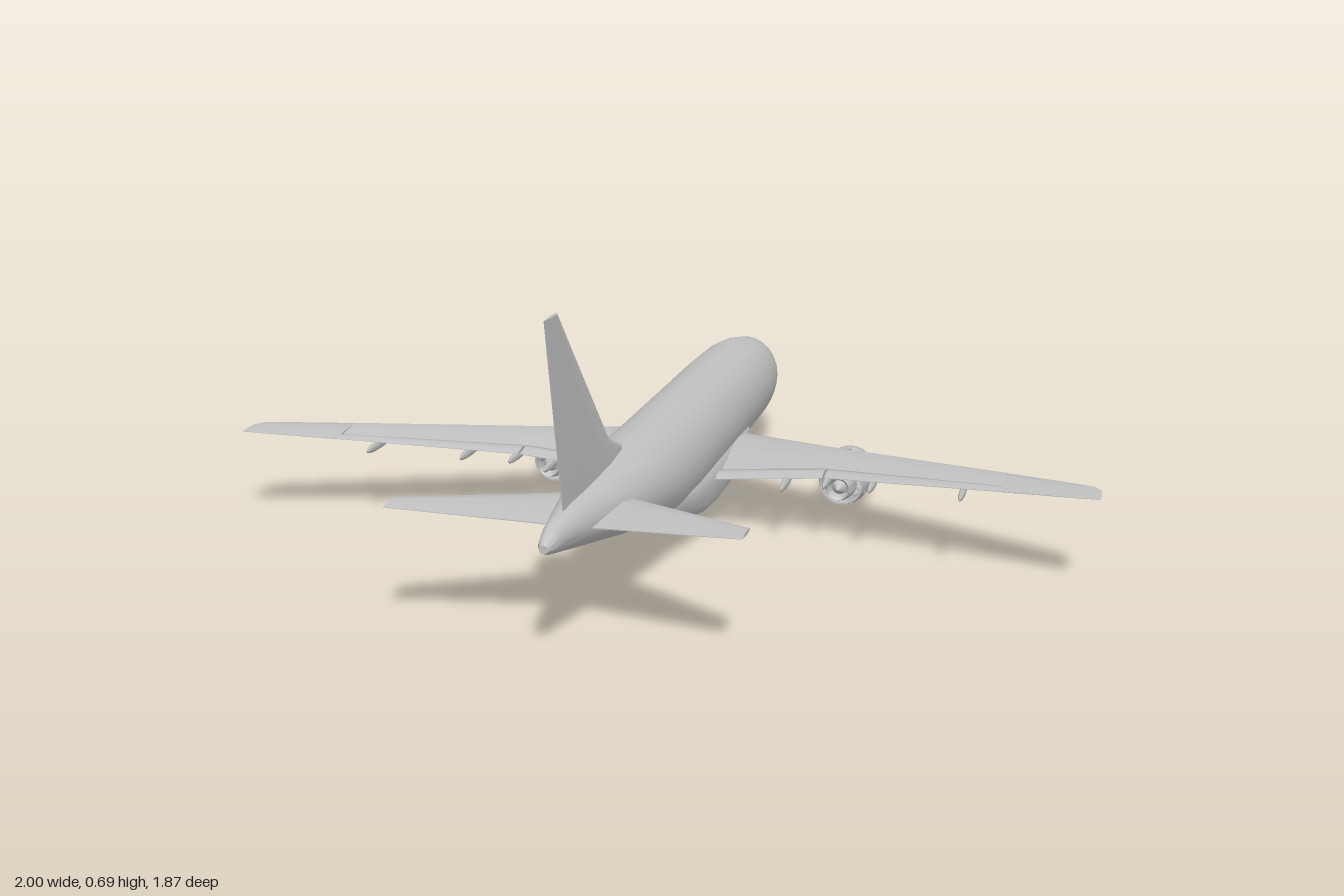
import * as THREE from 'three';
import { toCreasedNormals } from 'three/addons/utils/BufferGeometryUtils.js';

const paint = new THREE.MeshStandardMaterial({ color: 0xc0c0c0, side: THREE.DoubleSide });
paint.name = 'light grey paint';

// Skin a list of equal-length point rings, close both ends and face outwards.
function loft(rings, crease = 0.6) {
  const n = rings[0].length, pos = rings.flat(2), idx = [];
  for (let r = 0; r < rings.length - 1; r++)
    for (let i = 0; i < n; i++) {
      const a = r * n + i, b = r * n + (i + 1) % n;
      idx.push(a, b, a + n, b, b + n, a + n);
    }
  const last = (rings.length - 1) * n;
  for (let i = 1; i < n - 1; i++) idx.push(0, i + 1, i, last, last + i, last + i + 1);
  const p = i => new THREE.Vector3().fromArray(pos, i * 3);
  let volume = 0;
  for (let i = 0; i < idx.length; i += 3)
    volume += p(idx[i]).dot(p(idx[i + 1]).cross(p(idx[i + 2])));
  if (volume < 0) idx.reverse();
  const g = new THREE.BufferGeometry();
  g.setAttribute('position', new THREE.Float32BufferAttribute(pos, 3));
  g.setIndex(idx);
  return toCreasedNormals(g, crease);
}

// Body ring: oval above, squarer below when power < 1.
function bodyRing([z, bottom, top, half, power = 1]) {
  const mid = (bottom + top) / 2, ring = [];
  for (let i = 0; i < 24; i++) {
    const a = i / 24 * Math.PI * 2, c = Math.cos(a), s = Math.sin(a);
    const k = s < 0 ? power : 1;
    ring.push([half * Math.sign(c) * Math.abs(c) ** k,
      mid + (top - bottom) / 2 * Math.sign(s) * Math.abs(s) ** k, z]);
  }
  return ring;
}

// Aerofoil outline: chord fraction, thickness fraction.
const foil = [[0, 0], [0.06, 0.6], [0.3, 1], [0.65, 0.7], [1, 0.1],
  [1, -0.1], [0.65, -0.7], [0.3, -1], [0.06, -0.6]];

// Wing sections: [x, y, leading z, trailing z, thickness].
const wingLoft = (side, sections) => loft(sections.map(([x, y, z0, z1, t]) =>
  foil.map(([f, h]) => [side * x, y + h * t / 2, z0 + f * (z1 - z0)])));

// Fin sections: [y, leading z, trailing z, thickness].
const finLoft = sections => loft(sections.map(([y, z0, z1, t]) =>
  foil.map(([f, h]) => [h * t / 2, y, z0 + f * (z1 - z0)])));

// Lathe about the z axis; profile points are [radius, z].
function turned(profile, start = 0, length = Math.PI * 2, segments = 24) {
  const g = new THREE.LatheGeometry(profile.map(([r, z]) => new THREE.Vector2(r, z)), segments, start, length);
  return toCreasedNormals(g.rotateX(Math.PI / 2), 0.6);
}

function add(parent, name, geometry) {
  const mesh = new THREE.Mesh(geometry, paint);
  mesh.name = name;
  parent.add(mesh);
  return mesh;
}

function engine(side) {
  const g = new THREE.Group();
  g.name = 'engine';
  g.position.set(side * 0.37, 0.065, 0);
  // Cowl in three bands; the middle one has an open panel low on each side
  add(g, 'intakeLip', turned([[0.046, -0.31], [0.048, -0.345], [0.053, -0.356], [0.059, -0.345], [0.062, -0.315]]));
  const band = [[0.062, -0.315], [0.064, -0.285], [0.063, -0.255]];
  add(g, 'cowlTop', turned(band, Math.PI / 2, Math.PI, 12)).rotation.z = Math.PI / 2;
  add(g, 'cowlBottom', turned(band, Math.PI / 2 + 0.85, Math.PI - 1.7, 6)).rotation.z = -Math.PI / 2;
  add(g, 'cowlRear', turned([[0.063, -0.255], [0.06, -0.23], [0.053, -0.205], [0.049, -0.205], [0.052, -0.25]]));
  // Core and exhaust
  add(g, 'core', turned([[0, -0.27], [0.015, -0.26], [0.03, -0.245], [0.038, -0.21], [0.034, -0.18],
    [0.027, -0.16], [0.022, -0.165], [0.018, -0.18], [0, -0.15]]));
  for (let i = 0; i < 8; i++) {
    const vane = new THREE.BoxGeometry(0.036, 0.007, 0.025).translate(0.042, 0, -0.238);
    add(g, 'vane', vane.rotateZ(i * Math.PI / 4 + Math.PI / 8));
  }
  return g;
}

// Pylon outline in (z, y)
function pylon(side) {
  const shape = new THREE.Shape([[-0.31, 0.125], [-0.26, 0.14], [-0.17, 0.163], [-0.03, 0.158],
    [-0.05, 0.138], [-0.13, 0.115], [-0.18, 0.095], [-0.24, 0.1]].map(p => new THREE.Vector2(...p)));
  const g = new THREE.ExtrudeGeometry(shape, { depth: 0.016, bevelEnabled: false });
  return g.translate(0, 0, -0.008).rotateY(-Math.PI / 2).translate(side * 0.37, 0, 0);
}

export function createModel() {
  const model = new THREE.Group();
  model.name = 'airliner';

  // Fuselage stations: z, bottom, top, half width
  add(model, 'fuselage', loft([
    [-0.935, 0.148, 0.165, 0.01], [-0.925, 0.13, 0.185, 0.028], [-0.905, 0.115, 0.202, 0.042],
    [-0.86, 0.099, 0.228, 0.06], [-0.81, 0.088, 0.266, 0.078], [-0.77, 0.083, 0.288, 0.089],
    [-0.69, 0.077, 0.304, 0.102], [-0.6, 0.075, 0.313, 0.109], [-0.45, 0.075, 0.315, 0.112],
    [0.15, 0.075, 0.315, 0.112], [0.3, 0.095, 0.315, 0.111], [0.42, 0.12, 0.315, 0.103],
    [0.53, 0.146, 0.311, 0.089], [0.65, 0.174, 0.304, 0.068], [0.78, 0.204, 0.297, 0.042],
    [0.88, 0.228, 0.286, 0.024], [0.92, 0.238, 0.272, 0.016], [0.935, 0.244, 0.262, 0.009],
  ].map(bodyRing)));

  // Squared fairing under the wing roots
  add(model, 'bellyFairing', loft([
    [-0.42, 0.08, 0.2, 0.09, 0.8], [-0.33, 0.068, 0.2, 0.112, 0.5], [-0.2, 0.06, 0.2, 0.118, 0.42],
    [0, 0.055, 0.2, 0.118, 0.42], [0.1, 0.058, 0.2, 0.115, 0.45], [0.2, 0.074, 0.2, 0.108, 0.6],
    [0.32, 0.102, 0.2, 0.09, 0.9],
  ].map(bodyRing)));

  // Tail fin with its forward fillet
  add(model, 'tailFin', finLoft([[0.28, 0.42, 0.815, 0.026], [0.315, 0.42, 0.822, 0.026],
    [0.355, 0.515, 0.832, 0.024], [0.69, 0.835, 0.91, 0.008]]));

  for (const side of [1, -1]) {
    // Main wing, ending in front of the flap slots
    add(model, 'wing', wingLoft(side, [[0.05, 0.13, -0.345, -0.018, 0.05], [0.12, 0.137, -0.308, -0.018, 0.046],
      [0.37, 0.159, -0.174, -0.016, 0.03], [0.79, 0.2, 0.047, 0.14, 0.016]]));
    add(model, 'wingTip', wingLoft(side, [[0.788, 0.2, 0.046, 0.18, 0.016], [0.957, 0.216, 0.136, 0.232, 0.01],
      [0.985, 0.219, 0.155, 0.24, 0.008], [1, 0.22, 0.18, 0.245, 0.004]]));
    add(model, 'innerFlap', wingLoft(side, [[0.1, 0.132, -0.008, 0.05, 0.02], [0.368, 0.157, -0.006, 0.05, 0.016]]));
    add(model, 'outerFlap', wingLoft(side, [[0.374, 0.158, -0.004, 0.052, 0.016], [0.79, 0.2, 0.148, 0.18, 0.01]]));

    // Flap track fairings: x, rear z
    for (const [x, rear] of [[0.285, 0.12], [0.38, 0.1], [0.49, 0.135], [0.7, 0.198]]) {
      const pod = new THREE.SphereGeometry(1, 8, 10).rotateX(Math.PI / 2).scale(0.008, 0.012, 0.07);
      add(model, 'flapTrackFairing', pod)
        .position.set(side * x, 0.126 + (x - 0.11) * 0.09, rear - 0.07);
    }

    add(model, 'pylon', pylon(side));
    model.add(engine(side));

    add(model, 'tailplane', wingLoft(side, [[0.02, 0.243, 0.545, 0.765, 0.026], [0.085, 0.25, 0.592, 0.78, 0.022],
      [0.365, 0.279, 0.785, 0.85, 0.008]]));
  }
  return model;
}
